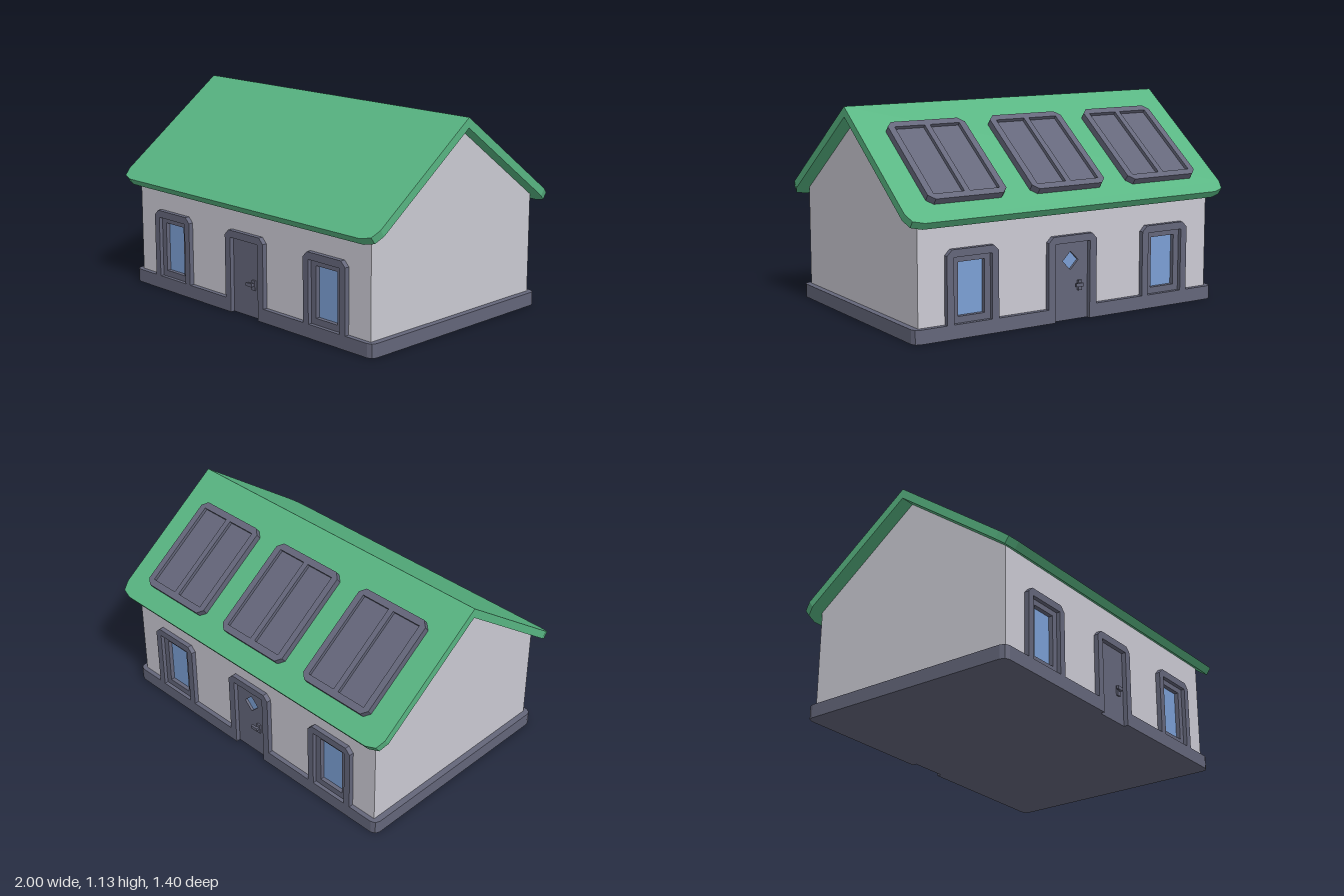
import * as THREE from 'three';

const mat = (name, color) => new THREE.MeshStandardMaterial({ name, color });

export function createModel() {
  const wallPaint = mat('wall paint', 0xcbcad3);
  const roofGreen = mat('roof green', 0x58b582);
  const slate = mat('slate trim', 0x64667a);
  const glassBlue = mat('glass blue', 0x7b9fd4);

  const house = new THREE.Group();
  house.name = 'house';

  const points = (list) => list.map(([x, y]) => new THREE.Vector2(x, y));
  const rect = (x0, y0, x1, y1) => [[x0, y0], [x1, y0], [x1, y1], [x0, y1]];

  // Flat plate with optional holes, running from z0 to z1
  function plate(name, material, outline, z0, z1, parent, holes = []) {
    const shape = new THREE.Shape(points(outline));
    holes.forEach((h) => shape.holes.push(new THREE.Path(points(h))));
    const geometry = new THREE.ExtrudeGeometry(shape, { depth: z1 - z0, bevelEnabled: false });
    geometry.translate(0, 0, z0);
    const mesh = new THREE.Mesh(geometry, material);
    mesh.name = name;
    parent.add(mesh);
    return mesh;
  }

  function group(name, parent, x = 0, y = 0, z = 0) {
    const g = new THREE.Group();
    g.name = name;
    g.position.set(x, y, z);
    parent.add(g);
    return g;
  }

  // Plinth with rounded corners and a notch at each doorway
  const half = [[0.11, 0.592], [0.11, 0.647], [0.92, 0.647], [0.945, 0.637], [0.955, 0.612]];
  const quarter = [...half].reverse();
  const plinthOutline = [
    ...quarter,
    ...half.map(([x, z]) => [-x, z]),
    ...quarter.map(([x, z]) => [-x, -z]),
    ...half.map(([x, z]) => [x, -z]),
  ];
  const plinth = plate('plinth', slate, plinthOutline, 0, 0.075, house);
  plinth.rotation.x = -Math.PI / 2;

  // Gable end walls and the inner core behind the openings
  const slope = 0.735;
  const gable = (z) => [[-z, 0.03], [z, 0.03], [z, 1.08 - slope * z], [0, 1.08], [-z, 1.08 - slope * z]];
  for (const [name, z, x0, x1] of [
    ['leftGable', 0.62, 0.9, 0.92], ['rightGable', 0.62, -0.92, -0.9], ['core', 0.58, -0.9, 0.9],
  ]) {
    plate(name, wallPaint, gable(z), x0, x1, house).rotation.y = Math.PI / 2;
  }

  // Surround with clipped top corners and an open middle
  const surround = (w, inner, bottom) => [
    [-w, bottom], [-inner, bottom], [-inner, 0.42], [inner, 0.42], [inner, bottom],
    [w, bottom], [w, 0.43], [w - 0.03, 0.46], [-w + 0.03, 0.46], [-w, 0.43],
  ];

  function addWindow(parent, x) {
    const w = group('window', parent, x);
    plate('windowSurround', slate, surround(0.153, 0.113, 0.07), 0.61, 0.647, w);
    const opening = [
      [-0.078, 0.11], [0.078, 0.11], [0.078, 0.39], [-0.078, 0.39],
    ];
    plate('windowSash', slate, rect(-0.113, 0.07, 0.113, 0.42), 0.585, 0.625, w, [opening]);
    plate('windowGlass', glassBlue, rect(-0.08, 0.108, 0.08, 0.392), 0.593, 0.601, w);
  }

  function addDoor(parent, hasPane) {
    const d = group('door', parent);
    plate('doorSurround', slate, surround(0.153, 0.11, 0), 0.592, 0.647, d);
    const diamond = [[0, 0.27], [0.05, 0.32], [0, 0.37], [-0.05, 0.32]];
    plate('doorLeaf', slate, rect(-0.11, 0, 0.11, 0.42), 0.592, 0.622, d, hasPane ? [diamond] : []);
    if (hasPane) plate('doorPane', glassBlue, diamond, 0.6, 0.608, d);
    plate('handlePlate', slate, rect(0.045, 0.155, 0.07, 0.21), 0.62, 0.632, d);
    plate('handleStem', slate, rect(0.05, 0.18, 0.063, 0.195), 0.63, 0.645, d);
    plate('handleLever', slate, rect(0.02, 0.178, 0.065, 0.197), 0.64, 0.652, d);
  }

  // Solar panel: clipped frame with two sunken cells
  function addPanel(parent, x) {
    const p = group('roofPanel', parent, x, -0.465);
    const w = 0.23, h = 0.286, c = 0.032;
    const outline = [
      [-w + c, -h], [w - c, -h], [w, -h + c], [w, h - c],
      [w - c, h], [-w + c, h], [-w, h - c], [-w, -h + c],
    ];
    const cells = [rect(-0.193, -0.248, -0.016, 0.248), rect(0.016, -0.248, 0.193, 0.248)];
    plate('panelFrame', slate, outline, -0.005, 0.037, p, cells);
    plate('panelCells', slate, rect(-0.2, -0.255, 0.2, 0.255), 0, 0.018, p);
  }

  // Front and back share one layout, turned half round
  for (const side of ['front', 'back']) {
    const face = group(side + 'Side', house);
    if (side === 'back') face.rotation.y = Math.PI;

    const openings = [-0.613, 0.613].map((x) => rect(x - 0.113, 0.072, x + 0.113, 0.42));
    openings.push(rect(-0.11, 0.04, 0.11, 0.42));
    plate(side + 'Wall', wallPaint, rect(-0.9, 0.03, 0.9, 0.625), 0.58, 0.62, face, openings);
    addWindow(face, -0.613);
    addWindow(face, 0.613);
    addDoor(face, side === 'back');

    // Roof slab lies in a frame tilted to the slope, with its origin on the ridge
    const roof = group(side + 'Roof', face, 0, 1.135, 0);
    roof.rotation.x = Math.atan(slope) - Math.PI / 2;
    const slab = [
      [-1, 0], [-1, -0.795], [-0.98, -0.85], [-0.92, -0.87],
      [0.92, -0.87], [0.98, -0.85], [1, -0.795], [1, 0],
    ];
    plate('roofSlab', roofGreen, slab, -0.044, 0, roof);
    if (side === 'back') [-0.617, 0, 0.617].forEach((x) => addPanel(roof, x));
  }

  return house;
}
